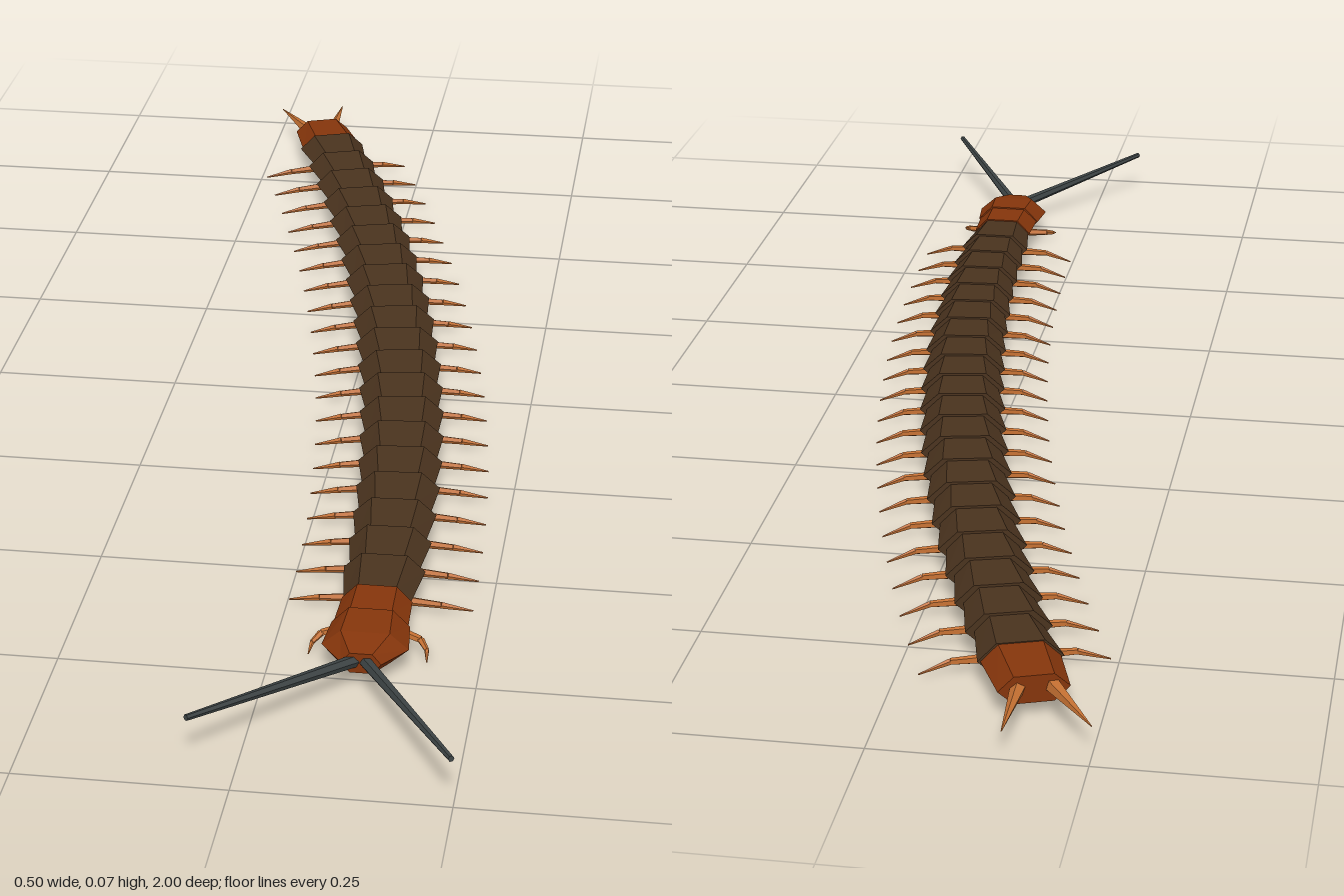
import * as THREE from 'three';

const mat = (name, color) => {
  const m = new THREE.MeshStandardMaterial({ color });
  m.name = name;
  return m;
};

// Unit cross-section, counter-clockwise seen from the front
const HEX = [[1, 0], [0.56, 1], [-0.56, 1], [-1, 0], [-0.56, -1], [0.56, -1]];

// Faceted loft through rings [z, halfWidth, halfHeight, centreY], ordered back to front
function loft(rings) {
  const pos = [];
  const n = HEX.length;
  const pts = rings.map(([z, w, h, y]) => HEX.map(([px, py]) => [px * w, y + py * h, z]));
  const tri = (a, b, c) => pos.push(...a, ...b, ...c);
  for (let i = 0; i < pts.length - 1; i++) {
    for (let j = 0; j < n; j++) {
      const k = (j + 1) % n;
      tri(pts[i][j], pts[i][k], pts[i + 1][k]);
      tri(pts[i][j], pts[i + 1][k], pts[i + 1][j]);
    }
  }
  const first = pts[0], last = pts[pts.length - 1];
  for (let j = 1; j < n - 1; j++) {
    tri(first[0], first[j + 1], first[j]);
    tri(last[0], last[j], last[j + 1]);
  }
  const g = new THREE.BufferGeometry();
  g.setAttribute('position', new THREE.Float32BufferAttribute(pos, 3));
  g.computeVertexNormals();
  return g;
}

// Faceted tapered rod between two points; flat < 1 thins it along z
function rod(a, b, ra, rb, sides = 5, flat = 1) {
  const A = new THREE.Vector3(...a), B = new THREE.Vector3(...b);
  const d = B.clone().sub(A);
  const g = new THREE.CylinderGeometry(rb, ra, d.length(), sides).toNonIndexed();
  g.scale(1, 1, flat);
  g.applyQuaternion(new THREE.Quaternion().setFromUnitVectors(new THREE.Vector3(0, 1, 0), d.normalize()));
  const c = A.add(B).multiplyScalar(0.5);
  g.translate(c.x, c.y, c.z);
  g.computeVertexNormals();
  return g;
}

export function createModel() {
  const root = new THREE.Group();
  root.name = 'centipede';
  const shell = mat('dark brown shell', 0x4a331e);
  const rust = mat('rust head and tail', 0x85350b);
  const copper = mat('copper leg', 0xc47032);
  const slate = mat('slate antenna', 0x3c4344);

  const add = (parent, name, geometry, material) => {
    const m = new THREE.Mesh(geometry, material);
    m.name = name;
    parent.add(m);
  };

  // Curved centre line of the body
  const FRONT = 0.62, PITCH = 0.072, COUNT = 20, MID = 0.036;
  const spineX = z => 0.116 - 0.126 * Math.max(0, FRONT - z) ** 2;
  const frame = (name, z) => {
    const g = new THREE.Group();
    g.name = name;
    g.position.set(spineX(z), 0, z);
    g.rotation.y = Math.atan(0.252 * Math.max(0, FRONT - z));
    root.add(g);
    return g;
  };

  // Overlapping trunk segments flared to the rear, each with a pair of legs
  for (let i = 0; i < COUNT; i++) {
    const seg = frame('segment' + (i + 1), FRONT - (i + 0.5) * PITCH);
    const swell = Math.sin(Math.PI * (i + 0.5) / COUNT);
    const w = 0.045 + 0.008 * swell;
    const h = 0.02 + 0.002 * swell;
    add(seg, 'bodyPlate', loft([[-0.041, w + 0.005, h + 0.001, MID], [0.038, w - 0.005, h - 0.002, MID]]), shell);
    for (const s of [1, -1]) {
      const reach = 0.113 + 0.004 * swell;
      const hip = [s * 0.028, 0.018, 0], knee = [s * (w + 0.029), 0.0165 - 0.003 * swell, 0.003];
      const foot = [s * reach, 0.007 - 0.004 * swell, -0.004];
      add(seg, 'upperLeg', rod(hip, knee, 0.0065, 0.0045, 5, 0.7), copper);
      add(seg, 'lowerLeg', rod(knee, foot, 0.0045, 0.001, 5, 0.7), copper);
    }
  }

  // Head: collar widening to the cheeks, then a blunt snout
  const head = frame('head', 0.69);
  add(head, 'collar', loft([[-0.072, 0.043, 0.02, MID], [-0.012, 0.045, 0.019, MID]]), rust);
  add(head, 'skull', loft([
    [-0.014, 0.047, 0.021, MID], [0.038, 0.052, 0.02, 0.035], [0.076, 0.024, 0.013, 0.035],
  ]), rust);

  // Curved venom claws
  for (const s of [1, -1]) {
    const path = [[s * 0.035, 0.022, -0.025], [s * 0.06, 0.019, -0.014], [s * 0.069, 0.014, 0.001], [s * 0.071, 0.008, 0.018]];
    const radii = [0.0055, 0.0045, 0.003, 0.0008];
    for (let k = 0; k < 3; k++) add(head, 'claw', rod(path[k], path[k + 1], radii[k], radii[k + 1]), copper);
  }

  // Long straight antennae of slightly different spread
  add(root, 'leftAntenna', rod([0.119, 0.035, 0.758], [0.247, 0.064, 0.998], 0.0078, 0.0038, 6), slate);
  add(root, 'rightAntenna', rod([0.111, 0.035, 0.758], [-0.056, 0.064, 0.955], 0.0078, 0.0038, 6), slate);

  // Tail segment with two spines
  const tail = frame('tail', -0.855);
  add(tail, 'tailPlate', loft([[-0.042, 0.042, 0.017, MID], [0.036, 0.047, 0.02, MID]]), rust);
  add(root, 'leftTailSpine', rod([-0.155, 0.037, -0.88], [-0.153, 0.037, -1], 0.0105, 0.0006), copper);
  add(root, 'rightTailSpine', rod([-0.187, 0.037, -0.875], [-0.249, 0.037, -0.973], 0.0105, 0.0006), copper);

  return root;
}
